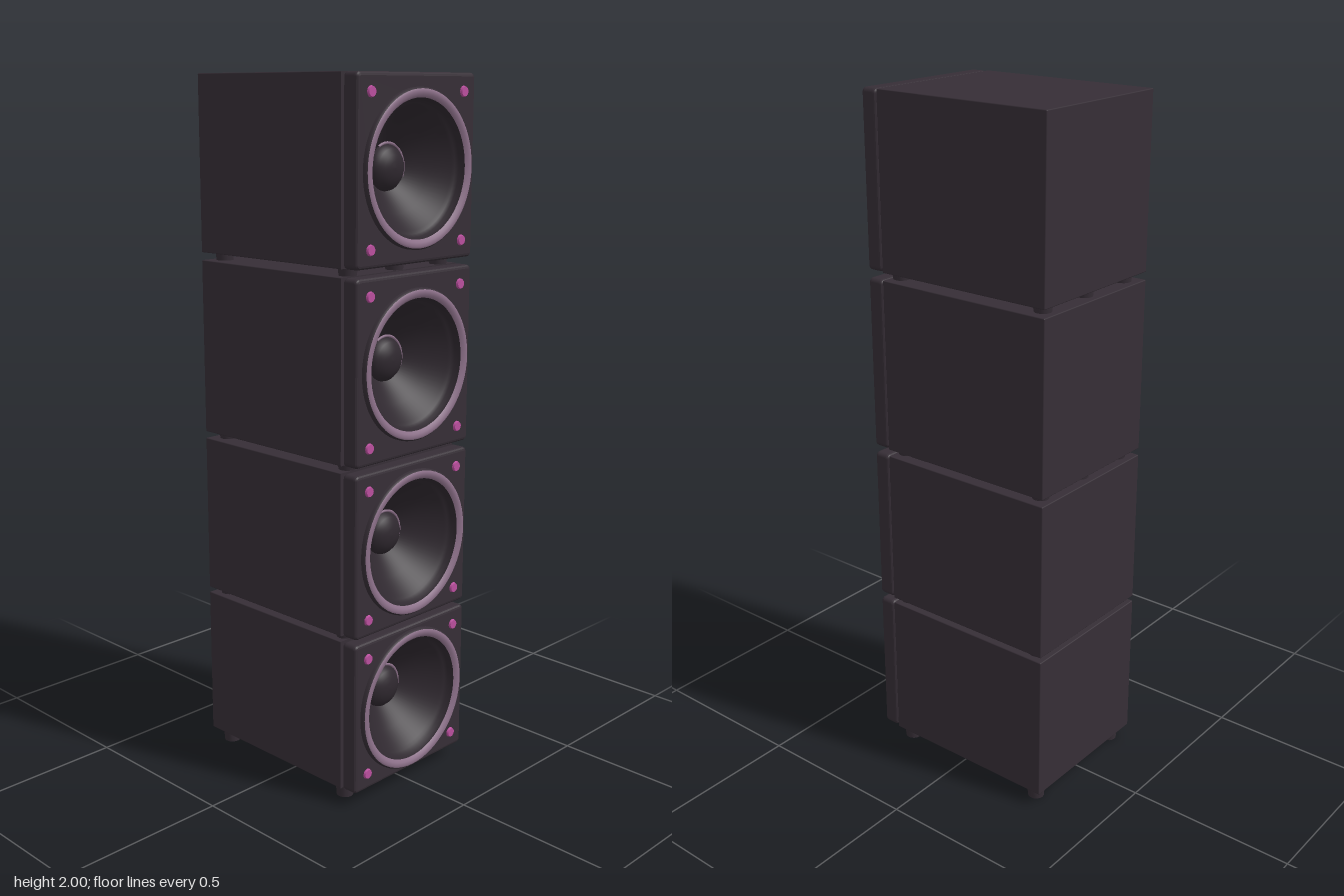
import * as THREE from 'three';
import { RoundedBoxGeometry } from 'three/addons/geometries/RoundedBoxGeometry.js';

const material = (name, color, side = THREE.FrontSide) =>
  Object.assign(new THREE.MeshStandardMaterial({ color, side }), { name });

export function createModel() {
  const cabinetMat = material('charcoal cabinet', 0x362e36);
  const coneMat = material('dark cone', 0x2f282f, THREE.DoubleSide);
  const trimMat = material('mauve trim', 0x8c7089);
  const screwMat = material('magenta screw', 0xbb4f9f);

  const W = 0.46, HOLE = 0.184;
  const tower = new THREE.Group();
  tower.name = 'speakerTower';

  function add(parent, name, geometry, mat, x = 0, y = 0, z = 0) {
    const mesh = new THREE.Mesh(geometry, mat);
    mesh.name = name;
    mesh.position.set(x, y, z);
    parent.add(mesh);
    return mesh;
  }

  // Square plate with rounded corners and a round opening, from z0 to z1
  function plate(w, h, corner, z0, z1, bevel) {
    const s = new THREE.Shape();
    const a = w / 2 - bevel, b = h / 2 - bevel, r = corner;
    s.moveTo(-a + r, -b);
    s.lineTo(a - r, -b);
    s.quadraticCurveTo(a, -b, a, -b + r);
    s.lineTo(a, b - r);
    s.quadraticCurveTo(a, b, a - r, b);
    s.lineTo(-a + r, b);
    s.quadraticCurveTo(-a, b, -a, b - r);
    s.lineTo(-a, -b + r);
    s.quadraticCurveTo(-a, -b, -a + r, -b);
    const hole = new THREE.Path();
    hole.absarc(0, 0, HOLE + bevel, 0, Math.PI * 2, true);
    s.holes.push(hole);
    const g = new THREE.ExtrudeGeometry(s, {
      depth: z1 - z0 - 2 * bevel, bevelEnabled: bevel > 0, bevelSize: bevel,
      bevelThickness: bevel, bevelSegments: 3, curveSegments: 32,
    });
    return g.translate(0, 0, z0 + bevel);
  }

  // Profile of [radius, z] pairs turned around the z axis
  const turned = (points) => new THREE.LatheGeometry(
    points.map(([r, z]) => new THREE.Vector2(r, z)), 64).rotateX(Math.PI / 2);

  function buildSpeaker(bottom, top) {
    const h = top - bottom;
    const speaker = new THREE.Group();
    speaker.name = 'speaker';
    speaker.position.y = (bottom + top) / 2;

    // Cabinet: solid rear, hollowed front and shadow gap behind the baffle
    add(speaker, 'cabinetRear', new RoundedBoxGeometry(W, h, 0.415, 2, 0.003), cabinetMat, 0, 0, -0.1075);
    add(speaker, 'cabinetFront', plate(W, h, 0.003, 0.095, 0.239, 0), cabinetMat);
    add(speaker, 'baffleNeck', plate(W - 0.024, h - 0.024, 0.003, 0.237, 0.248, 0), coneMat);
    add(speaker, 'baffle', plate(W, h, 0.004, 0.244, 0.295, 0.01), cabinetMat);

    // Driver: frame, trim ring, cone and dust cap
    add(speaker, 'driverFrame', turned([[0.209, 0.29], [0.209, 0.303], [0.205, 0.308]]), cabinetMat);
    add(speaker, 'trimRing', turned([[0.205, 0.308], [0.2, 0.311], [0.19, 0.31], [0.182, 0.303]]), trimMat);
    add(speaker, 'cone', turned([
      [0.182, 0.303], [0.178, 0.285], [0.17, 0.278], [0.162, 0.272], [0.12, 0.225], [0.062, 0.18],
    ]), coneMat);
    add(speaker, 'dustCap', turned([
      [0.063, 0.178], [0.06, 0.19], [0.05, 0.202], [0.034, 0.211], [0.017, 0.216], [0, 0.217],
    ]), coneMat);
    const arc = add(speaker, 'capHighlightTrim',
      new THREE.TorusGeometry(0.065, 0.004, 6, 32, Math.PI * 0.8), trimMat, 0, 0, 0.185);
    arc.rotation.z = -0.4;

    // Corner screws
    for (const x of [-0.18, 0.18]) for (const side of [-1, 1]) {
      const g = new THREE.CylinderGeometry(0.013, 0.016, 0.008, 12).rotateX(Math.PI / 2);
      add(speaker, 'screw', g, screwMat, x, side * (h / 2 - 0.049), 0.297);
    }
    tower.add(speaker);
  }

  // Stacked speakers, each resting on feet
  const levels = [[0.04, 0.484], [0.5, 0.964], [0.984, 1.486], [1.508, 2]];
  levels.forEach(([bottom, top], i) => {
    buildSpeaker(bottom, top);
    const floor = i ? levels[i - 1][1] : 0;
    const columns = i > 1 ? [-0.18, 0, 0.18] : [-0.187, 0.187];
    for (const x of columns) for (const z of [-0.272, 0.215]) {
      const g = new THREE.CylinderGeometry(0.027, 0.024, bottom - floor + 0.004, 16);
      add(tower, 'foot', g, cabinetMat, x, (bottom + floor) / 2 + 0.002, z);
    }
  });
  return tower;
}
